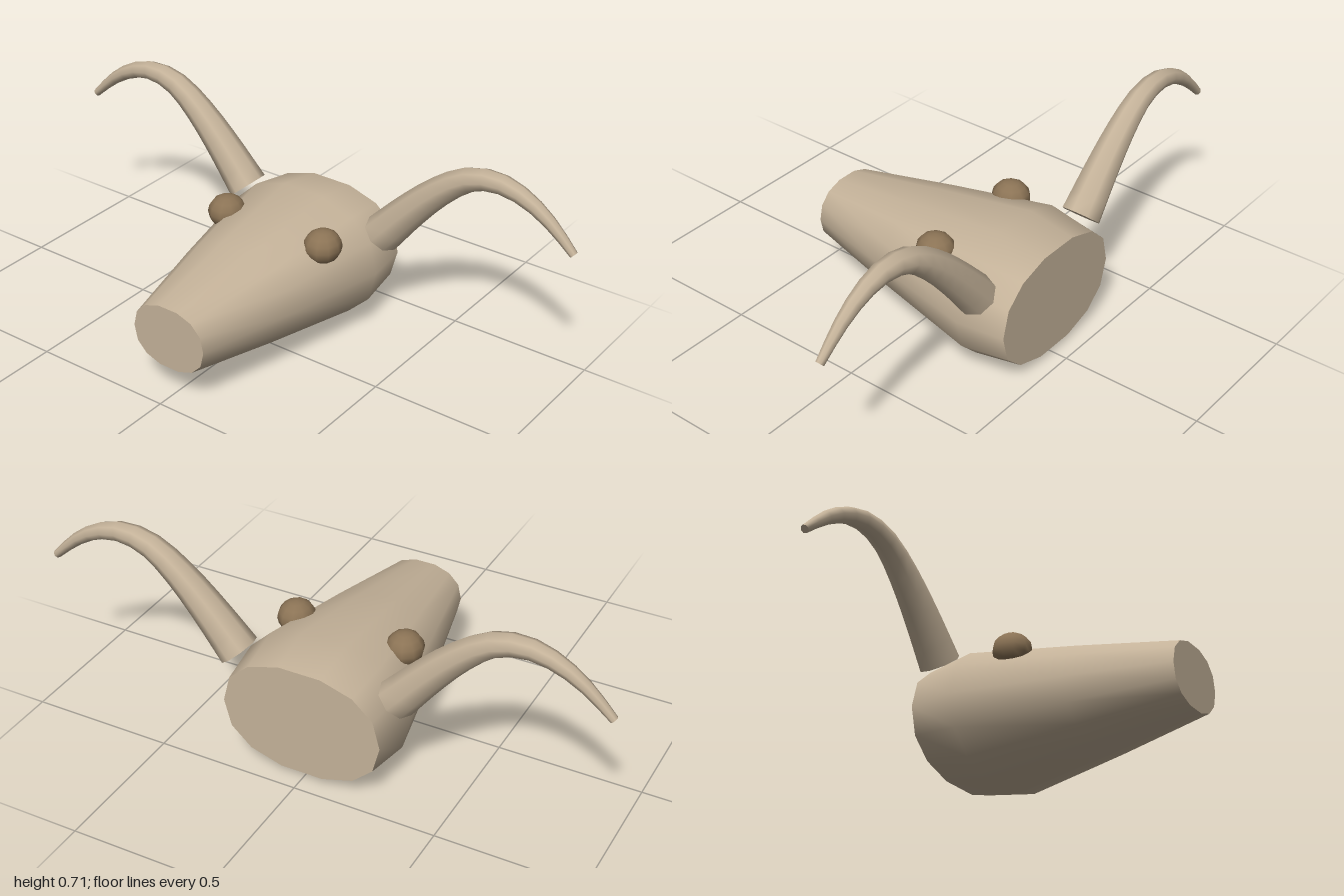
import * as THREE from 'three';

// Smooth skin through a list of rings, with flat caps at both ends
function loft(rings) {
  const n = rings[0].length;
  const last = rings.length - 1;
  const points = [...rings.flat(), ...rings[0], ...rings[last]];
  const index = [];
  for (let i = 0; i < last; i++) {
    for (let j = 0; j < n; j++) {
      const k = (j + 1) % n;
      const a = i * n + j, b = i * n + k, c = a + n, d = b + n;
      index.push(a, c, b, b, c, d);
    }
  }
  const start = rings.length * n, end = start + n;
  for (let j = 1; j < n - 1; j++) {
    index.push(start, start + j, start + j + 1);
    index.push(end, end + j + 1, end + j);
  }
  const geometry = new THREE.BufferGeometry().setFromPoints(points);
  geometry.setIndex(index);
  geometry.computeVertexNormals();
  return geometry;
}

// Rounded, slightly squared section of the head, flat at top and bottom
function headRing(z, halfWidth, halfHeight) {
  const sides = 14, power = 0.88;
  const soften = (v) => Math.sign(v) * Math.abs(v) ** power;
  const top = soften(Math.cos(Math.PI / sides));
  return Array.from({ length: sides }, (_, j) => {
    const a = (j / sides) * Math.PI * 2;
    return new THREE.Vector3(
      halfWidth * soften(Math.cos(a)),
      0.224 + (halfHeight * soften(Math.sin(a))) / top,
      z
    );
  });
}

// Tapered horn that rises outwards and droops at the tip
function hornGeometry(side) {
  const path = [
    [0.285, 0.35], [0.4, 0.483], [0.5, 0.583], [0.6, 0.655],
    [0.7, 0.678], [0.8, 0.657], [0.9, 0.598], [0.99, 0.515],
  ];
  const curve = new THREE.CatmullRomCurve3(
    path.map(([x, y]) => new THREE.Vector3(side * x, y, -0.34))
  );
  const steps = 14, sides = 8;
  const rings = [];
  for (let i = 0; i <= steps; i++) {
    const t = i / steps;
    const center = curve.getPointAt(t);
    const tangent = curve.getTangentAt(t);
    const radius = THREE.MathUtils.lerp(0.07, 0.014, t);
    rings.push(Array.from({ length: sides }, (_, j) => {
      const a = (j / sides) * Math.PI * 2;
      return new THREE.Vector3(
        tangent.y * Math.cos(a), -tangent.x * Math.cos(a), Math.sin(a)
      ).multiplyScalar(radius).add(center);
    }));
  }
  return loft(rings);
}

export function createModel() {
  const group = new THREE.Group();
  const tan = new THREE.MeshStandardMaterial({ color: 0xc4b299 });
  tan.name = 'tan';
  const brown = new THREE.MeshStandardMaterial({ color: 0x8b7355 });
  brown.name = 'brown';

  const add = (name, geometry, material) => {
    const mesh = new THREE.Mesh(geometry, material);
    mesh.name = name;
    group.add(mesh);
    return mesh;
  };

  // Head, from muzzle to neck
  add('head', loft([
    headRing(0.45, 0.142, 0.111),
    headRing(0.1, 0.225, 0.168),
    headRing(-0.28, 0.305, 0.224),
    headRing(-0.45, 0.283, 0.195),
  ]), tan);

  // Horns and eyes, mirrored
  for (const [side, label] of [[1, 'left'], [-1, 'right']]) {
    add(label + 'Horn', hornGeometry(side), tan);
    const eye = add(label + 'Eye', new THREE.SphereGeometry(1, 10, 8), brown);
    eye.scale.set(0.065, 0.059, 0.068);
    eye.position.set(side * 0.2, 0.377, -0.112);
  }
  return group;
}
